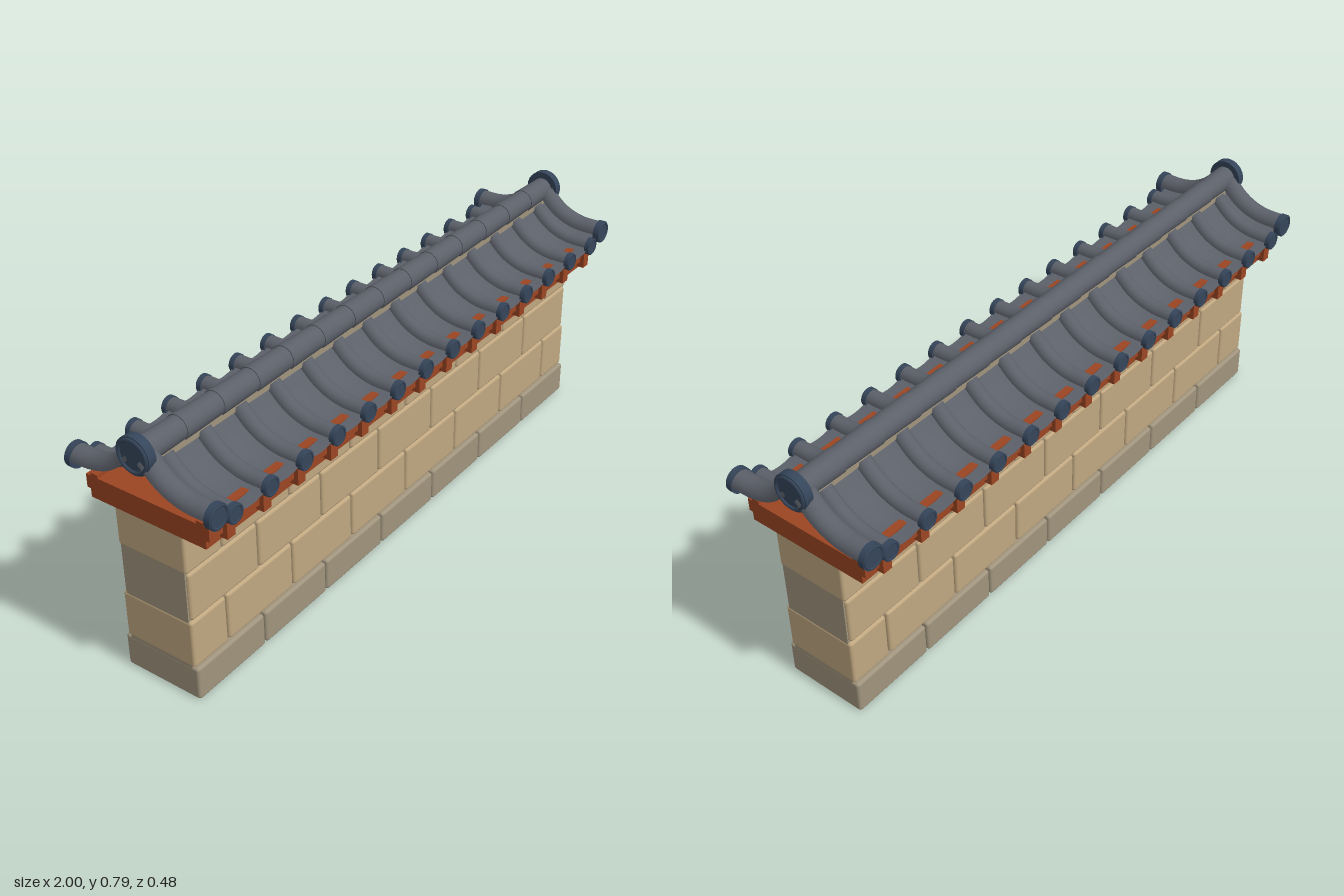
import * as THREE from 'three';
import { RoundedBoxGeometry } from 'three/addons/geometries/RoundedBoxGeometry.js';

const mat = (name, color, side = THREE.FrontSide) =>
  Object.assign(new THREE.MeshStandardMaterial({ color, side }), { name });

export function createModel() {
  const sand = mat('sandstone', 0xc0a780);
  const stone = mat('grey stone', 0xa0947d);
  const wood = mat('red wood', 0x9c4522);
  const tile = mat('roof tile', 0x5c6069, THREE.DoubleSide);
  const navy = mat('tile end cap', 0x35455a);

  const model = new THREE.Group();
  model.name = 'tiledWall';

  function add(name, geometry, material, x = 0, y = 0, z = 0, parent = model) {
    const mesh = new THREE.Mesh(geometry, material);
    mesh.name = name;
    mesh.position.set(x, y, z);
    parent.add(mesh);
    return mesh;
  }

  // Brick courses: bottom, top, half depth, half length, inner joints
  const pitch = 1.93 / 7;
  const whole = [1, 2, 3, 4, 5, 6].map(i => -0.965 + i * pitch);
  const half = [0, 1, 2, 3, 4, 5, 6].map(i => -0.965 + (i + 0.5) * pitch);
  const courses = [
    ['baseStone', 0, 0.104, 0.127, 0.966, whole, stone],
    ['brick', 0.105, 0.254, 0.118, 0.967, half, sand],
    ['brick', 0.256, 0.404, 0.116, 0.961, whole, sand],
    ['brick', 0.406, 0.548, 0.115, 0.967, half, sand],
  ];
  courses.forEach(([name, y0, y1, depth, length, joints, material]) => {
    const edges = [-length, ...joints, length];
    for (let i = 0; i < edges.length - 1; i++) {
      const w = edges[i + 1] - edges[i] - 0.005;
      add(name, new RoundedBoxGeometry(w, y1 - y0, depth * 2, 2, 0.009),
        material, (edges[i] + edges[i + 1]) / 2, (y0 + y1) / 2, 0);
    }
  });
  add('wallCore', new THREE.BoxGeometry(1.926, 0.5, 0.214), stone, 0, 0.295, 0);

  // Timber plate, rafter ends and the battens carrying the tiles
  add('eavePlate', new THREE.BoxGeometry(1.93, 0.066, 0.38), wood, 0, 0.555, 0);
  const tileXs = Array.from({ length: 14 }, (_, i) => (i - 6.5) * 0.1385);
  for (const s of [-1, 1]) {
    add('eaveBoard', new THREE.BoxGeometry(1.93, 0.04, 0.014), wood, 0, 0.568, s * 0.195);
    add('batten', new THREE.BoxGeometry(1.93, 0.01, 0.024), wood, 0, 0.592, s * 0.174);
    for (const x of tileXs)
      add('rafterEnd', new THREE.BoxGeometry(0.03, 0.058, 0.03), wood, x, 0.56, s * 0.2);
  }

  // Curved roof slope, as (z, y), followed by every tile
  const slope = new THREE.CatmullRomCurve3([
    [0.015, 0.69], [0.06, 0.648], [0.1, 0.625], [0.153, 0.61], [0.226, 0.608],
  ].map(([z, y]) => new THREE.Vector3(0, y, z)));

  // Sweep an open section of (x, height) pairs down the slope
  function sweep(section, lift = 0) {
    const steps = 14, n = section.length, pos = [], idx = [];
    for (let i = 0; i <= steps; i++) {
      const p = slope.getPointAt(i / steps), t = slope.getTangentAt(i / steps);
      for (const [x, h] of section)
        pos.push(x, p.y + lift + h * t.z, p.z - h * t.y);
    }
    for (let i = 0; i < steps; i++)
      for (let j = 0; j < n - 1; j++) {
        const a = i * n + j, b = a + n;
        idx.push(a, b, a + 1, a + 1, b, b + 1);
      }
    const g = new THREE.BufferGeometry();
    g.setAttribute('position', new THREE.Float32BufferAttribute(pos, 3));
    g.setIndex(idx);
    g.computeVertexNormals();
    return g;
  }
  const arch = r => Array.from({ length: 13 }, (_, i) => {
    const a = Math.PI * (1 - i / 12);
    return [r * Math.cos(a), r * Math.sin(a)];
  });
  const pan = Array.from({ length: 9 }, (_, i) => {
    const u = i / 4 - 1;
    return [u * 0.06925, -0.016 * (1 - u * u)];
  });
  const roundTile = sweep(arch(0.025));
  const vergeTile = sweep(arch(0.033), 0.027);
  const panTile = sweep(pan);
  const sideStrips = [-1, 1].map(s =>
    sweep(s < 0 ? [[-0.995, 0.026], [-0.9, -0.002]] : [[0.9, -0.002], [0.995, 0.026]]));

  // Round end cap with a raised rim, facing +z
  function cap(name, r, depth, parent) {
    const g = new THREE.Group();
    g.name = name;
    const disc = new THREE.CylinderGeometry(r, r, depth, 28).rotateX(Math.PI / 2);
    add('capDisc', disc, navy, 0, 0, 0, g);
    add('capRim', new THREE.TorusGeometry(r * 0.84, r * 0.1, 6, 28), navy, 0, 0, depth / 2, g);
    parent.add(g);
    return g;
  }

  for (const facing of [0, Math.PI]) {
    const side = new THREE.Group();
    side.name = facing ? 'backSlope' : 'frontSlope';
    side.rotation.y = facing;
    model.add(side);
    for (const x of tileXs) {
      add('roundTile', roundTile, tile, x, 0, 0, side);
      cap('eaveCap', 0.028, 0.015, side).position.set(x, 0.607, 0.226);
    }
    for (let i = 0; i < 13; i++)
      add('panTile', panTile, tile, (i - 6) * 0.1385, 0, 0, side);
    sideStrips.forEach(g => add('vergePan', g, tile, 0, 0, 0, side));
    for (const s of [-1, 1]) {
      add('vergeTile', vergeTile, tile, s * 0.963, 0, 0, side);
      cap('vergeCap', 0.036, 0.018, side).position.set(s * 0.963, 0.636, 0.227);
    }
  }

  // Ridge: bedding strip, overlapping round tiles and large end caps
  add('ridgeBedding', new THREE.BoxGeometry(1.92, 0.03, 0.05), stone, 0, 0.703, 0);
  const seg = 1.95 / 14;
  for (let i = 0; i < 14; i++) {
    const g = new THREE.CylinderGeometry(0.037, 0.0345, seg, 24).rotateZ(Math.PI / 2);
    add('ridgeTile', g, tile, (i - 6.5) * seg, 0.731, 0);
  }
  for (const s of [-1, 1]) {
    const c = cap('ridgeCap', 0.054, 0.026, model);
    c.position.set(s * 0.98, 0.732, 0);
    c.rotation.y = s * Math.PI / 2;
  }
  return model;
}
